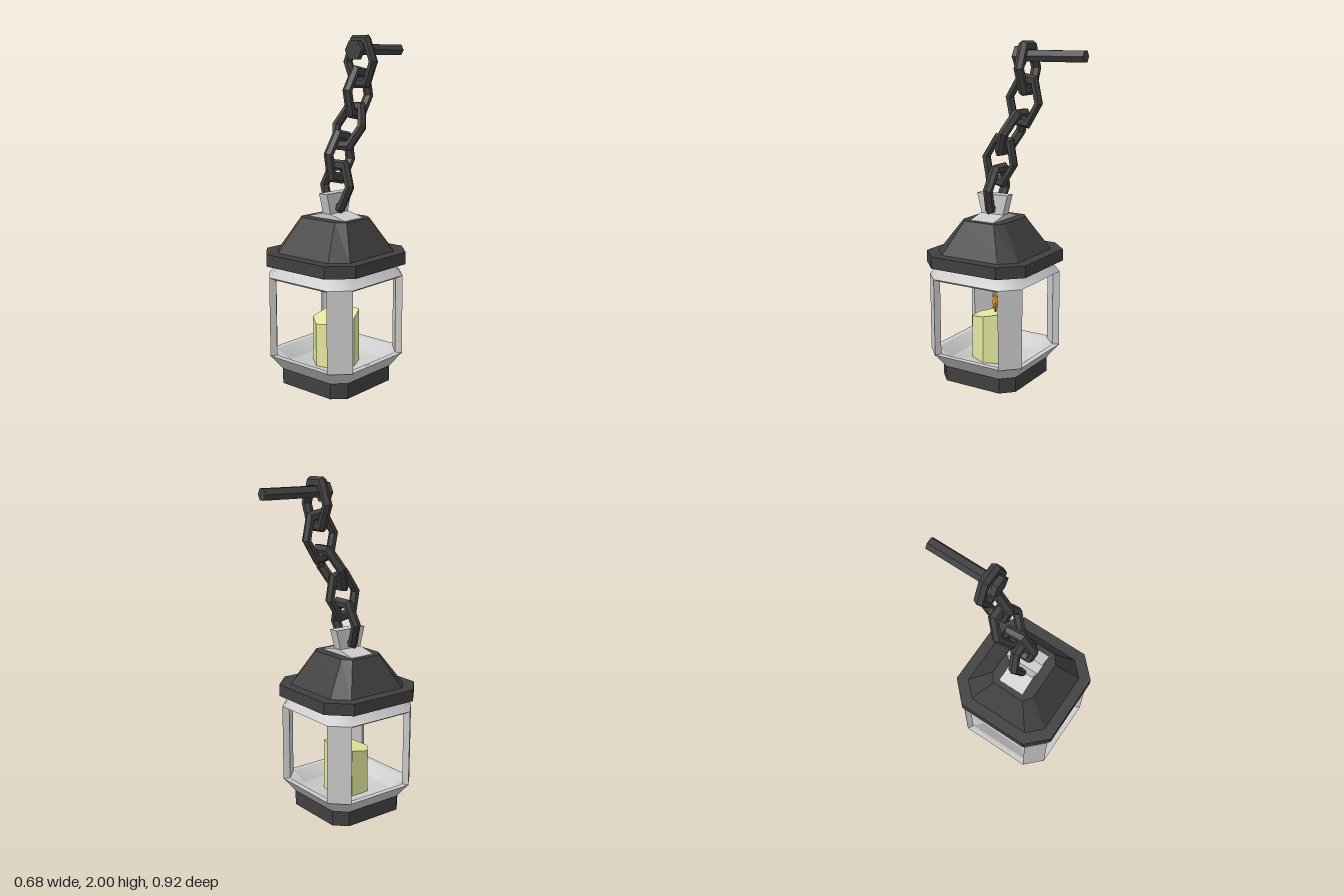
import * as THREE from 'three';
import { toCreasedNormals } from 'three/addons/utils/BufferGeometryUtils.js';

const mat = (color, opts = {}) => new THREE.MeshStandardMaterial({ color, ...opts });
const grey = mat(0xcccccc);
const greyFlat = mat(0xcccccc, { flatShading: true });
const iron = mat(0x404040, { flatShading: true });
const wax = mat(0xe4e89c, { flatShading: true });
const fire = mat(0xffa010, { flatShading: true });

// Cross-sections: lists of [x, y, z] running from +x towards +z
const octagon = (y, hx, fx, hz = hx, fz = fx) => [
  [hx, y, fz], [fx, y, hz], [-fx, y, hz], [-hx, y, fz],
  [-hx, y, -fz], [-fx, y, -hz], [fx, y, -hz], [hx, y, -fz],
];
const rectangle = (y, hx, hz) => [[hx, y, -hz], [hx, y, hz], [-hx, y, hz], [-hx, y, -hz]];

// Skin a stack of cross-sections and close both ends
function loft(rings) {
  const pos = [];
  const tri = (...p) => p.forEach((v) => pos.push(...v));
  const n = rings[0].length;
  const centre = (r) => [0, 1, 2].map((k) => r.reduce((s, p) => s + p[k], 0) / n);
  const first = rings[0], last = rings[rings.length - 1];
  for (let i = 0; i < n; i++) {
    const j = (i + 1) % n;
    for (let k = 0; k + 1 < rings.length; k++) {
      const a = rings[k][i], b = rings[k][j], c = rings[k + 1][j], d = rings[k + 1][i];
      tri(a, d, c);
      tri(a, c, b);
    }
    tri(first[i], first[j], centre(first));
    tri(centre(last), last[j], last[i]);
  }
  const g = new THREE.BufferGeometry();
  g.setAttribute('position', new THREE.Float32BufferAttribute(pos, 3));
  g.computeVertexNormals();
  return g;
}

function add(parent, name, geometry, material, x = 0, y = 0, z = 0) {
  const m = new THREE.Mesh(geometry, material);
  m.name = name;
  m.position.set(x, y, z);
  parent.add(m);
  return m;
}

function createLantern() {
  const g = new THREE.Group();
  g.name = 'lantern';
  add(g, 'base', loft([octagon(0, 0.255, 0.185), octagon(0.09, 0.255, 0.185)]), iron);

  // Flared tray with a sunken floor, and the matching upper frame
  add(g, 'tray', toCreasedNormals(loft([
    octagon(0.09, 0.255, 0.185), octagon(0.175, 0.32, 0.22),
    octagon(0.175, 0.285, 0.2), octagon(0.11, 0.22, 0.16),
  ]), 0.75), grey);
  add(g, 'upperFrame', toCreasedNormals(loft([
    octagon(0.7, 0.24, 0.17), octagon(0.62, 0.285, 0.2),
    octagon(0.64, 0.32, 0.22), octagon(0.715, 0.265, 0.185),
  ]), 0.75), grey);

  // Four corner posts
  const postSection = (y) => [[0.32, y, 0.22], [0.22, y, 0.32], [0.2, y, 0.285], [0.285, y, 0.2]];
  const postGeo = loft([postSection(0.17), postSection(0.64)]);
  for (let i = 0; i < 4; i++) add(g, 'cornerPost', postGeo, greyFlat).rotation.y = i * Math.PI / 2;

  // Roof
  add(g, 'roofBrim', loft([octagon(0.71, 0.34, 0.22), octagon(0.78, 0.34, 0.22)]), iron);
  add(g, 'roof', loft([octagon(0.78, 0.275, 0.19), octagon(0.975, 0.172, 0.12, 0.14, 0.1)]), iron);
  add(g, 'roofCap', loft([rectangle(0.97, 0.14, 0.08), rectangle(0.977, 0.14, 0.08), rectangle(1.003, 0.03, 0.08)]), greyFlat);
  add(g, 'hangingTab', loft([rectangle(0.99, 0.03, 0.07), rectangle(1.12, 0.03, 0.105)]), greyFlat);
  return g;
}

function createCandle() {
  const g = new THREE.Group();
  g.name = 'candle';
  // Seven-sided wax body with a slanted top
  const ring = (height) => Array.from({ length: 7 }, (_, i) => {
    const a = 0.216 + Math.PI / 2 - (7 - i) * 2 * Math.PI / 7 + 2 * Math.PI;
    const x = 0.14 * Math.cos(a), z = 0.14 * Math.sin(a);
    return [x, height(x, z), z];
  });
  add(g, 'wax', loft([ring(() => 0.105), ring((x, z) => 0.392 - 0.21 * z + 0.05 * x)]), wax);
  add(g, 'wick', new THREE.CylinderGeometry(0.006, 0.006, 0.06, 5), iron, 0, 0.4, 0);
  const profile = [[0, 0.405], [0.012, 0.42], [0.022, 0.455], [0.014, 0.485], [0, 0.525]];
  add(g, 'flame', new THREE.LatheGeometry(profile.map(([r, y]) => new THREE.Vector2(r, y)), 6), fire);
  return g;
}

function createChain() {
  const g = new THREE.Group();
  g.name = 'chain';
  const linkGeo = new THREE.TorusGeometry(0.095, 0.025, 6, 6).scale(1, 1.443, 1.2);
  // Each link: height, depth, lean in degrees; every second one is turned sideways
  const links = [
    [1.85, -0.1, 0], [1.672, -0.078, 10], [1.487, 0.0, 27], [1.318, 0.083, 12], [1.152, 0.106, 9],
  ];
  links.forEach(([y, z, lean], i) => {
    const link = add(g, 'chainLink', linkGeo, iron, 0, y, z);
    link.rotation.set(-lean * Math.PI / 180, (i % 2) * Math.PI / 2, 0);
  });
  return g;
}

function createPin() {
  const g = new THREE.Group();
  g.name = 'wallPin';
  // Hexagonal rod lying along z, corners to the sides
  const hexRod = (r, len) => new THREE.CylinderGeometry(r, r, len, 6).rotateY(Math.PI / 2).rotateX(Math.PI / 2);
  add(g, 'pinShaft', hexRod(0.036, 0.4), iron, 0, 1.918, -0.26);
  add(g, 'pinHead', hexRod(0.062, 0.033), iron, 0, 1.915, -0.05);
  return g;
}

export function createModel() {
  const model = new THREE.Group();
  model.name = 'hangingLantern';
  const lantern = createLantern();
  lantern.add(createCandle());
  lantern.position.z = 0.12;
  model.add(lantern, createChain(), createPin());
  return model;
}
